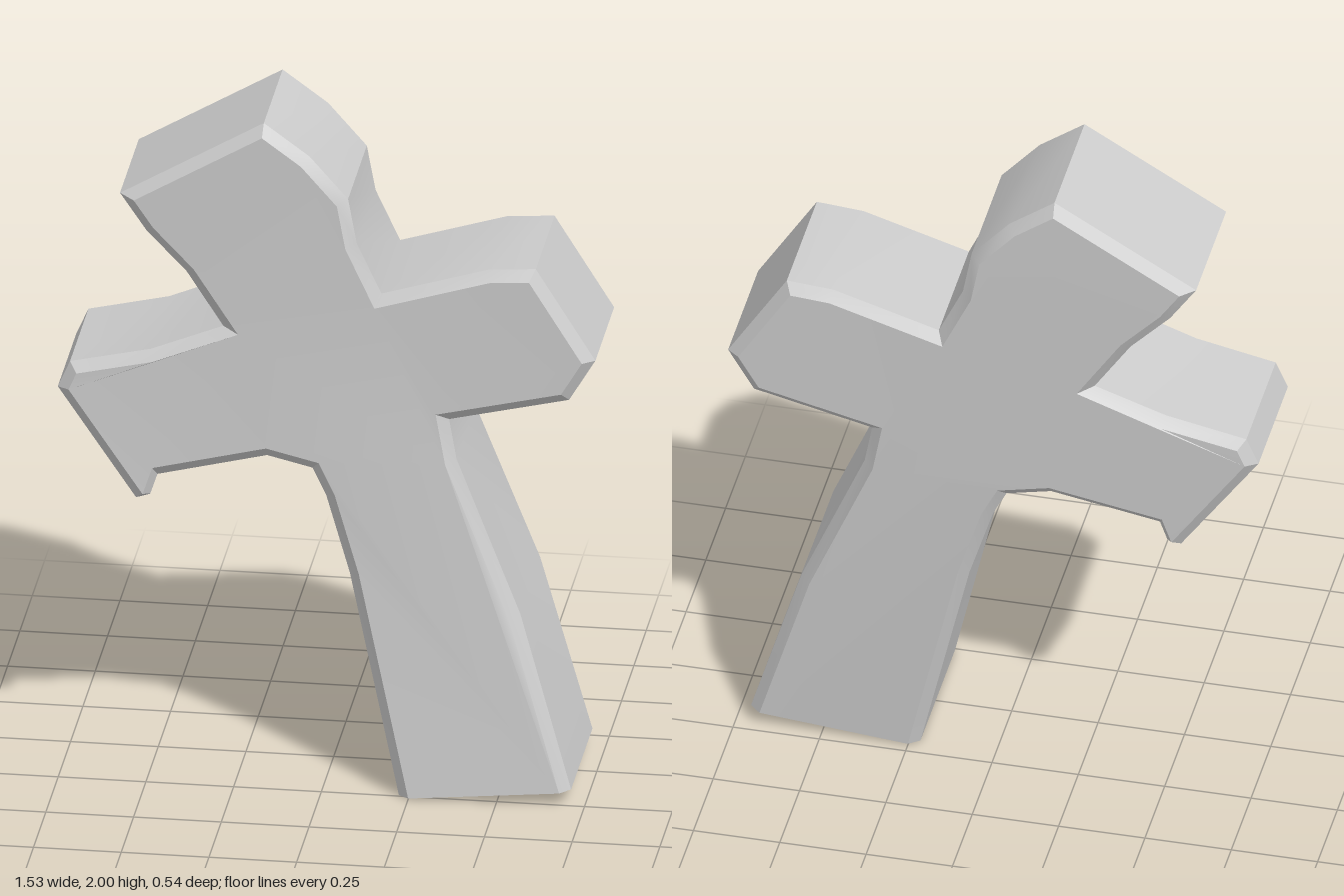
import * as THREE from 'three';
import { toCreasedNormals } from 'three/addons/utils/BufferGeometryUtils.js';

const BEVEL = 0.03, BEVEL_Z = 0.027;

// Outline, counter-clockwise: [x, y, bevel width of the edge that starts here]
const OUTLINE = [
  // foot and right side of the post
  [0.22, 0.0, 0], [0.71, 0.045], [0.557, 0.552], [0.37, 1.0], [0.348, 1.12],
  // arm on +x
  [0.69, 1.2], [0.765, 1.325], [0.595, 1.597], [0.46, 1.587], [0.155, 1.495],
  // head
  [0.085, 1.645], [0.06, 1.78], [-0.05, 1.905], [-0.18, 2.0], [-0.59, 1.76],
  [-0.515, 1.65], [-0.4, 1.53], [-0.295, 1.37],
  // arm on -x, with the small splintered corner
  [-0.5, 1.29], [-0.73, 1.24], [-0.765, 1.16], [-0.54, 0.838, 0.015],
  [-0.5, 0.85, 0.02], [-0.48, 0.91], [-0.17, 0.98],
  // left side of the post
  [-0.04, 0.95], [0.0, 0.87], [0.07, 0.645],
];

// Moves every edge inward by its bevel width and meets neighbours at the corners
function insetOutline(points) {
  const n = points.length;
  const edges = points.map(([x, y, w = BEVEL], i) => {
    const q = points[(i + 1) % n];
    const len = Math.hypot(q[0] - x, q[1] - y);
    const nx = -(q[1] - y) / len, ny = (q[0] - x) / len;
    return { nx, ny, d: nx * x + ny * y + w };
  });
  return edges.map((b, i) => {
    const a = edges[(i + n - 1) % n];
    const det = a.nx * b.ny - a.ny * b.nx;
    return [(a.d * b.ny - b.d * a.ny) / det, (a.nx * b.d - b.nx * a.d) / det];
  });
}

// The post leans forward towards its foot; the -x arm swings slightly forward
const lean = (y) => Math.pow(Math.max(0, (1.1 - y) / 1.1), 1.3);
const swing = (x, y) => (y < 1.45 ? THREE.MathUtils.clamp((-x - 0.2) / 0.4, 0, 1) : 0);
const frontZ = (x, y) => 0.162 + 0.108 * lean(y) + 0.016 * swing(x, y);
const backZ = (x, y) => -0.272 + 0.052 * lean(y) + 0.025 * swing(x, y);

function slabGeometry() {
  const inner = insetOutline(OUTLINE), n = OUTLINE.length;
  const rings = [
    inner.map(([x, y]) => [x, y, backZ(x, y)]),
    OUTLINE.map(([x, y]) => [x, y, backZ(x, y) + BEVEL_Z]),
    OUTLINE.map(([x, y]) => [x, y, frontZ(x, y) - BEVEL_Z]),
    inner.map(([x, y]) => [x, y, frontZ(x, y)]),
  ];
  const index = [];

  // bevels and sides
  for (let r = 0; r < 3; r++) {
    for (let i = 0; i < n; i++) {
      const j = (i + 1) % n;
      const a = r * n + i, b = r * n + j, c = b + n, d = a + n;
      index.push(a, b, c, a, c, d);
    }
  }
  // front and back faces
  const contour = inner.map(([x, y]) => new THREE.Vector2(x, y));
  for (const [a, b, c] of THREE.ShapeUtils.triangulateShape(contour, [])) {
    index.push(3 * n + a, 3 * n + b, 3 * n + c, c, b, a);
  }

  const geometry = new THREE.BufferGeometry();
  geometry.setAttribute('position', new THREE.Float32BufferAttribute(rings.flat(2), 3));
  geometry.setIndex(index);
  return toCreasedNormals(geometry, 0.5);
}

export function createModel() {
  const group = new THREE.Group();
  group.name = 'leaningCross';
  const cross = new THREE.Mesh(slabGeometry(), new THREE.MeshStandardMaterial({ color: 0xcccccc }));
  cross.name = 'stoneCross';
  group.add(cross);
  return group;
}
